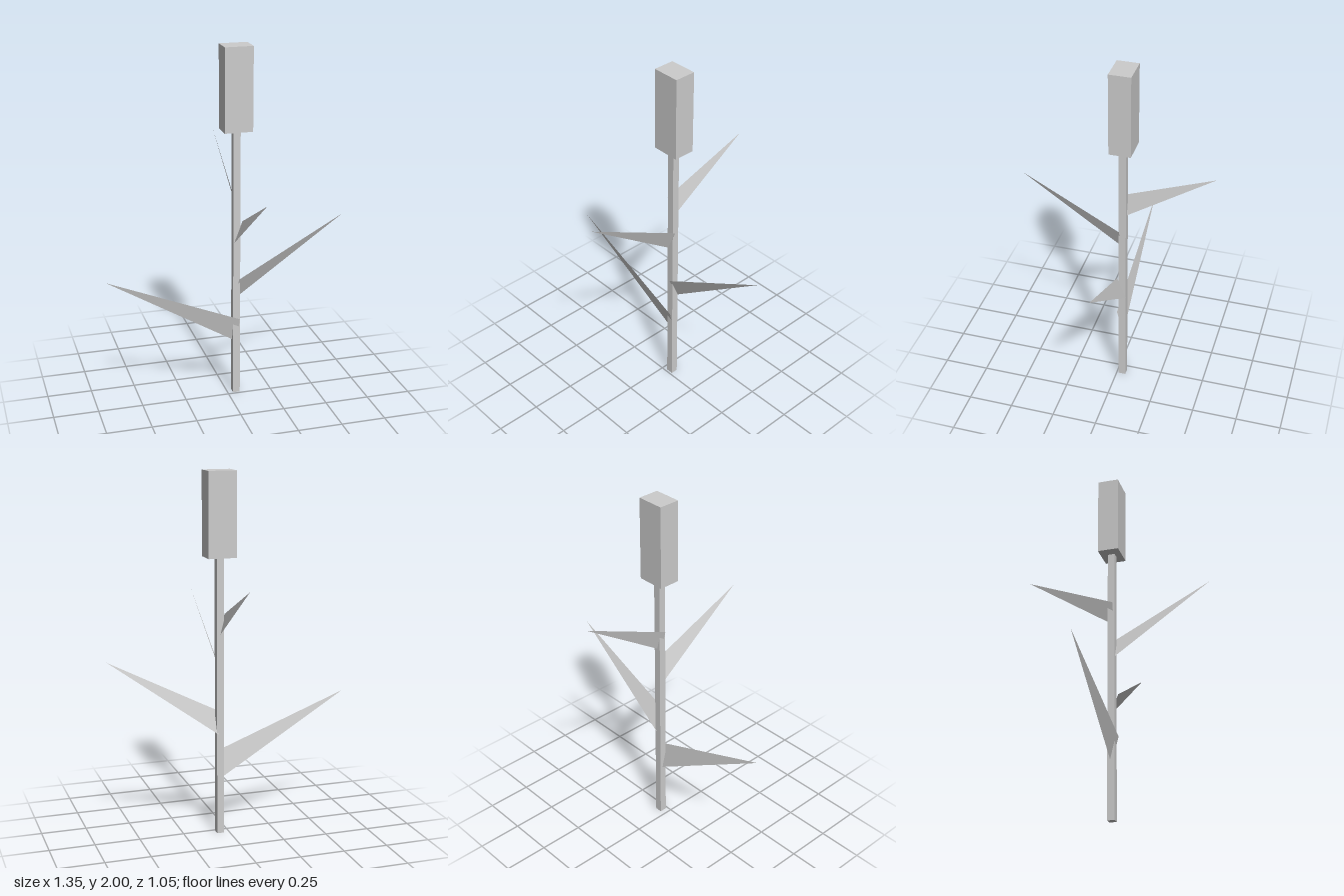
import * as THREE from 'three';

const material = new THREE.MeshStandardMaterial({ color: 0xcccccc, flatShading: true });
const leafMaterial = new THREE.MeshStandardMaterial({ color: 0xcccccc, flatShading: true, side: THREE.DoubleSide });

function box(name, size, position) {
  const mesh = new THREE.Mesh(new THREE.BoxGeometry(...size), material);
  mesh.name = name;
  mesh.position.set(...position);
  return mesh;
}

// A leaf is one flat, slightly twisted triangle: upper root, lower root, tip
function leaf(name, upper, lower, tip) {
  const geometry = new THREE.BufferGeometry();
  geometry.setAttribute('position', new THREE.Float32BufferAttribute([...upper, ...lower, ...tip], 3));
  geometry.computeVertexNormals();
  const mesh = new THREE.Mesh(geometry, leafMaterial);
  mesh.name = name;
  return mesh;
}

export function createModel() {
  const group = new THREE.Group();
  group.name = 'plant';

  // Square stem carrying the block-shaped flower head
  group.add(box('stem', [0.04, 1.55, 0.04], [0.05, 0.775, -0.032]));
  group.add(box('flowerHead', [0.155, 0.455, 0.118], [0.05, 1.7725, -0.034]));

  // Four pointed leaves climbing around the stem
  group.add(
    leaf('rightLeaf', [0.065, 0.46, 0.0], [0.06, 0.307, -0.037], [-0.68, 0.755, -0.02]),
    leaf('leftLeaf', [0.06, 0.70, 0.0], [0.06, 0.573, -0.054], [0.672, 1.02, -0.035]),
    leaf('frontLeaf', [0.083, 1.035, -0.017], [0.035, 0.908, -0.02], [0.05, 1.3, 0.525]),
    leaf('backLeaf', [0.018, 1.235, -0.022], [0.05, 1.11, -0.022], [0.05, 1.44, -0.525])
  );
  return group;
}
